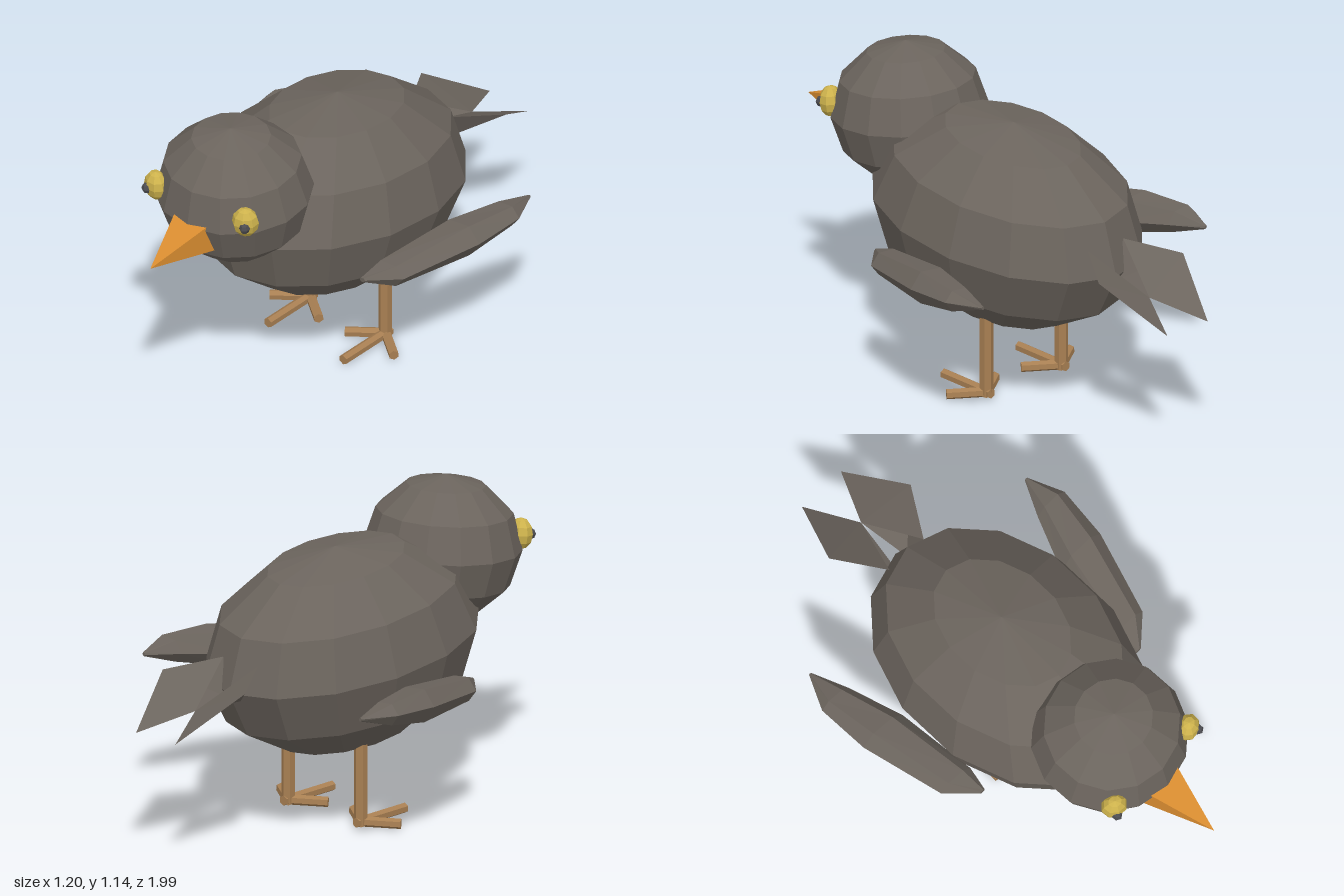
import * as THREE from 'three';

const mat = (name, color, extra = {}) => {
  const m = new THREE.MeshStandardMaterial({ color, flatShading: true, ...extra });
  m.name = name;
  return m;
};

export function createModel() {
  const plumage = mat('charcoal plumage', 0x6b645d);
  const tailMat = mat('charcoal plumage', 0x6b645d, { side: THREE.DoubleSide });
  const orange = mat('beak orange', 0xd88c30);
  const yellow = mat('eye yellow', 0xcdb24c);
  const dark = mat('pupil grey', 0x4c4c50);
  const tan = mat('leg tan', 0xa87f52);

  const bird = new THREE.Group();
  bird.name = 'bird';
  const add = (parent, name, geo, material) => {
    const mesh = new THREE.Mesh(geo, material);
    mesh.name = name;
    parent.add(mesh);
    return mesh;
  };
  const ball = (rx, ry, rz, w = 14, h = 6) =>
    new THREE.SphereGeometry(1, w, h, Math.PI / 2).scale(rx, ry, rz);
  const faces = (points, index) => {
    const g = new THREE.BufferGeometry();
    g.setAttribute('position', new THREE.Float32BufferAttribute(points.flat(), 3));
    g.setIndex(index);
    g.computeVertexNormals();
    return g;
  };
  const rod = (parent, name, from, to, r) => {
    const a = new THREE.Vector3(...from), b = new THREE.Vector3(...to);
    const d = b.clone().sub(a);
    const mesh = add(parent, name, new THREE.CylinderGeometry(r, r, d.length(), 6), tan);
    mesh.position.copy(a).add(b).multiplyScalar(0.5);
    mesh.quaternion.setFromUnitVectors(new THREE.Vector3(0, 1, 0), d.normalize());
  };

  // Body, tilted slightly up at the front
  const body = add(bird, 'body', ball(0.41, 0.375, 0.585), plumage);
  body.position.set(0, 0.635, -0.035);
  body.rotation.x = -0.09;

  // Head, turned a little to its left and nodding down
  const head = new THREE.Group();
  head.name = 'head';
  head.position.set(0, 0.875, 0.49);
  head.rotation.set(0.08, 0.08, 0, 'YXZ');
  bird.add(head);
  add(head, 'skull', ball(0.29, 0.266, 0.282), plumage);

  // Four-sided beak
  add(head, 'beak', faces(
    [[-0.08, 0.022, 0.235], [0.08, 0.022, 0.235], [0.082, -0.1, 0.235], [-0.082, -0.1, 0.235], [0, -0.045, 0.505]],
    [0, 4, 1, 1, 4, 2, 2, 4, 3, 3, 4, 0, 0, 1, 2, 0, 2, 3]), orange);

  for (const s of [1, -1]) {
    // Eyes
    const eye = add(head, 'eye', ball(0.05, 0.058, 0.042, 8, 6), yellow);
    eye.position.set(s * 0.2, 0.053, 0.195);
    eye.rotation.y = s * 0.4;
    const pupil = add(head, 'pupil', ball(0.02, 0.021, 0.02, 6, 4), dark);
    pupil.position.set(s * 0.219, 0.05, 0.226);

    // Wing: hexagonal sections [z, inner x, outer x, inner y, outer y, half thickness]
    const sections = [
      [0.235, 0.375, 0.4, 0.518, 0.522, 0.008],
      [0.14, 0.355, 0.5, 0.515, 0.525, 0.042],
      [-0.17, 0.395, 0.588, 0.535, 0.56, 0.062],
      [-0.37, 0.47, 0.602, 0.565, 0.578, 0.04],
      [-0.5, 0.53, 0.542, 0.578, 0.582, 0.006],
    ];
    const pts = [], idx = [];
    for (const [z, x0, x1, y0, y1, t] of sections) {
      for (let i = 0; i < 6; i++) {
        const a = (i / 6) * Math.PI * 2, u = 0.5 + 0.5 * Math.cos(a);
        pts.push([s * (x0 + (x1 - x0) * u), y0 + (y1 - y0) * u + t * Math.sin(a) / 0.866, z]);
      }
    }
    const tri = (a, b, c) => (s > 0 ? idx.push(a, b, c) : idx.push(a, c, b));
    for (let k = 0; k < 4; k++) {
      for (let i = 0; i < 6; i++) {
        const a = k * 6 + i, b = k * 6 + (i + 1) % 6;
        tri(a, a + 6, b);
        tri(b, a + 6, b + 6);
      }
    }
    for (let i = 1; i < 5; i++) {
      tri(0, i, i + 1);
      tri(24, 24 + i + 1, 24 + i);
    }
    add(bird, s > 0 ? 'leftWing' : 'rightWing', faces(pts, idx), plumage);

    // Tail feather: a slanted diamond with a short keel at its root
    add(bird, s > 0 ? 'leftTailFeather' : 'rightTailFeather', faces(
      [[s * 0.085, 0.69, -0.56], [s * 0.203, 0.66, -0.75], [s * 0.097, 0.505, -1], [0, 0.56, -0.795], [s * 0.03, 0.555, -0.59]],
      s > 0 ? [0, 1, 3, 1, 2, 3, 0, 4, 1, 1, 4, 3] : [0, 3, 1, 1, 3, 2, 0, 1, 4, 1, 3, 4]), tailMat);

    // Leg and three toes
    const leg = new THREE.Group();
    leg.name = s > 0 ? 'leftLeg' : 'rightLeg';
    leg.position.set(s * 0.18, 0, -0.123);
    bird.add(leg);
    rod(leg, 'shin', [0, 0.01, 0], [0, 0.36, 0], 0.025);
    rod(leg, 'middleToe', [0, 0.024, -0.025], [0, 0.02, 0.228], 0.019);
    for (const t of [1, -1]) {
      rod(leg, 'sideToe', [-t * 0.012, 0.024, -0.01], [t * 0.117, 0.02, 0.085], 0.019);
    }
  }
  return bird;
}
